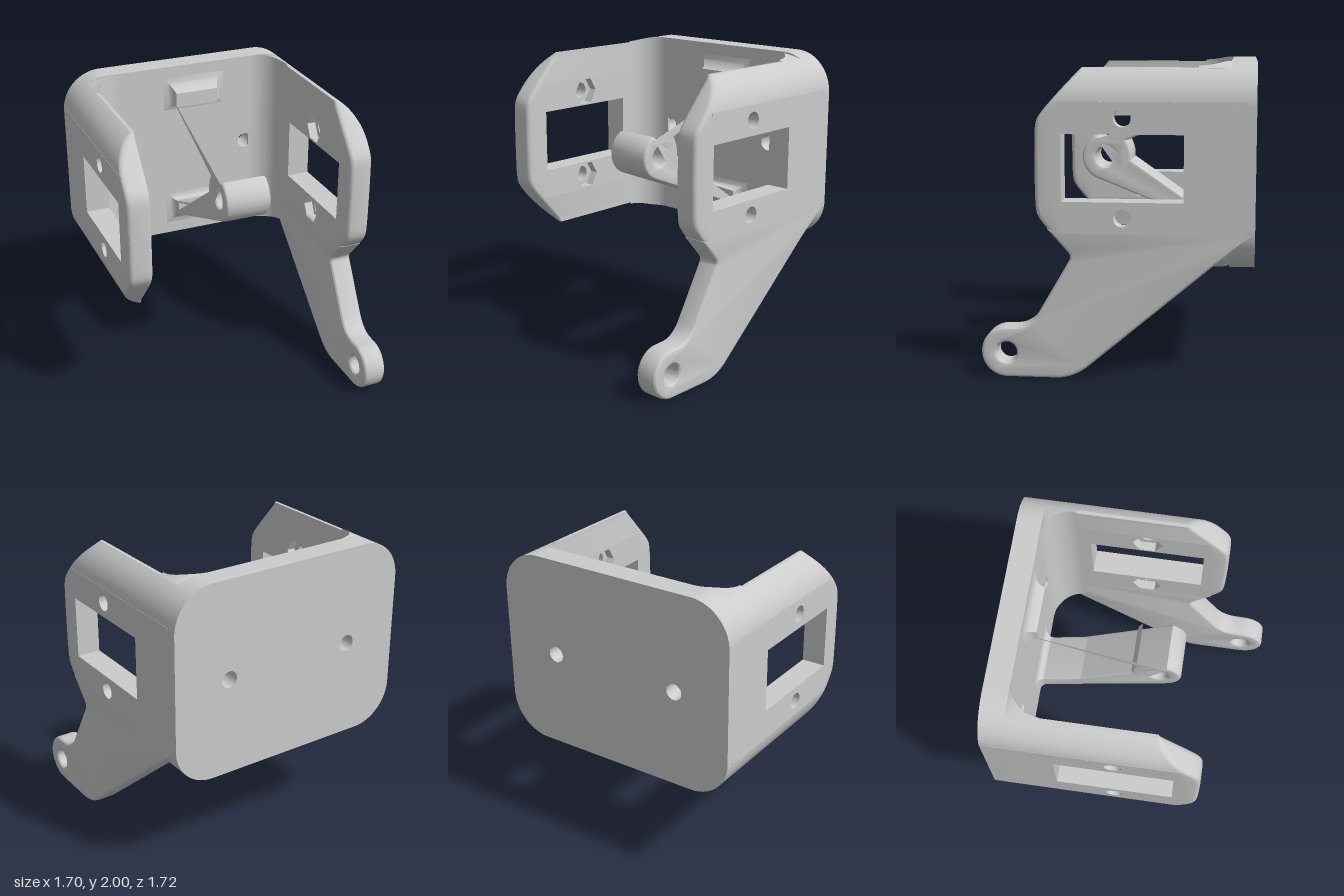
import * as THREE from 'three';
import { toCreasedNormals } from 'three/addons/utils/BufferGeometryUtils.js';

const MID = 1.35;            // height of the symmetry plane of the body
const XI = 0.69, XO = 0.85;  // inner and outer face of a side wall
const R = 0.27;              // corner radius of the body
const HALF = 0.65;           // half height of the body

const material = new THREE.MeshStandardMaterial({ color: 0xcccccc });

function part(name, geometry, crease = 0.5) {
  const mesh = new THREE.Mesh(toCreasedNormals(geometry, crease), material);
  mesh.name = name;
  return mesh;
}

function circle(s, y, r) {
  return new THREE.Path().absarc(s, y, r, 0, Math.PI * 2, true);
}

function polygon(points, Type = THREE.Path) {
  return new Type(points.map(([s, y]) => new THREE.Vector2(s, y)));
}

// Extrudes a side profile, drawn in (-z, y), across x0..x1, with optional rounded edges
function sideExtrude(shape, x0, x1, bevel = 0) {
  const geo = new THREE.ExtrudeGeometry(shape, {
    depth: x1 - x0 - 2 * bevel, curveSegments: 24, bevelEnabled: bevel > 0,
    bevelSize: bevel, bevelThickness: bevel, bevelOffset: -bevel, bevelSegments: 3,
  });
  return geo.rotateY(Math.PI / 2).translate(x0 + bevel, 0, 0);
}

// Skins convex rings stacked upwards; each ring lists [x, z] anticlockwise from above
function loft(heights, ringAt) {
  const rings = heights.map((y) => ringAt(y).map(([x, z]) => [x, y, z]));
  const n = rings[0].length, last = rings[rings.length - 1], pos = [];
  const tri = (a, b, c) => pos.push(...a, ...b, ...c);
  for (let i = 0; i < rings.length - 1; i++) {
    for (let j = 0; j < n; j++) {
      const k = (j + 1) % n;
      tri(rings[i][j], rings[i][k], rings[i + 1][k]);
      tri(rings[i][j], rings[i + 1][k], rings[i + 1][j]);
    }
  }
  for (let j = 1; j < n - 1; j++) {
    tri(rings[0][0], rings[0][j + 1], rings[0][j]);
    tri(last[0], last[j], last[j + 1]);
  }
  const geo = new THREE.BufferGeometry();
  geo.setAttribute('position', new THREE.Float32BufferAttribute(pos, 3));
  return geo;
}

const range = (a, b, n) => Array.from({ length: n + 1 }, (_, i) => a + (b - a) * i / n);

// Outer x of the body at a height, and half height of the body at an x
const outerX = (y) => {
  const d = Math.max(0, Math.abs(y - MID) - (HALF - R));
  return XO - R + Math.sqrt(R * R - d * d);
};
const halfHeight = (x) => HALF - R + Math.sqrt(R * R - Math.max(0, x - XO + R) ** 2);

// Front edge of the wall, with softened chamfers above and below
const frontZ = (y) => {
  const e = Math.abs(y - MID) - 0.3;
  return 0.51 - 0.45 * (e + Math.sqrt(e * e + 0.0016));
};

// Horizontal slice of a wall with rounded front edges
function wallRing(y, zBack, zFront) {
  const xo = outerX(y), r = Math.min(0.03, (xo - XI) * 0.49);
  const ring = [[xo, zBack], [XI, zBack]];
  const angles = range(0, Math.PI / 2, 4);
  for (const a of angles) ring.push([XI + r - r * Math.cos(a), zFront - r + r * Math.sin(a)]);
  for (const a of angles) ring.push([xo - r + r * Math.sin(a), zFront - r + r * Math.cos(a)]);
  return ring;
}

// Flat middle of a wall: window plus two bolt holes, hexagonal on the inside
function wallPanel(x0, x1, hex) {
  const shape = polygon([[-0.36, 0.94], [0.8, 0.94], [0.8, 1.76], [-0.36, 1.76]], THREE.Shape);
  shape.holes.push(polygon([[-0.34, 1.14], [0.42, 1.14], [0.42, 1.56], [-0.34, 1.56]]));
  for (const y of [1.04, 1.66]) {
    shape.holes.push(hex
      ? polygon(range(0, 5, 5).map((i) => [0.04 + 0.1 * Math.cos(i * Math.PI / 3), y + 0.1 * Math.sin(i * Math.PI / 3)]))
      : circle(0.04, y, 0.055));
  }
  return sideExtrude(shape, x0, x1);
}

// Concave corner between wall and back plate, trimmed to the rounded body outline
function cornerFillet() {
  const shape = new THREE.Shape().moveTo(0.49, 0.72);
  shape.lineTo(0.49, 0.7);
  shape.absarc(0.49, 0.5, 0.2, Math.PI / 2, 0, true);
  shape.lineTo(0.72, 0.5);
  shape.lineTo(0.72, 0.72);
  const geo = new THREE.ExtrudeGeometry(shape, { depth: 1, bevelEnabled: false, curveSegments: 16 });
  geo.rotateX(-Math.PI / 2);
  const p = geo.attributes.position;
  for (let i = 0; i < p.count; i++) {
    p.setY(i, MID + (p.getY(i) > 0.5 ? 1 : -1) * halfHeight(p.getX(i)));
  }
  return geo;
}

function sideWall(name) {
  const wall = new THREE.Group();
  wall.name = name;
  wall.add(
    part('wallInnerLayer', wallPanel(XI, 0.75, true)),
    part('wallOuterLayer', wallPanel(0.75, XO, false)),
    part('wallFrontEdge', loft(range(0.94, 1.76, 40), (y) => wallRing(y, 0.36, frontZ(y)))),
    part('wallTop', loft(range(1.76, 1.965, 14), (y) => wallRing(y, -0.8, frontZ(y)))),
    part('cornerFillet', cornerFillet()),
  );
  return wall;
}

// Back plate: rounded rectangle with two screw holes
function backPlate() {
  const w = XO, h = HALF, s = new THREE.Shape();
  s.absarc(w - R, h - R, R, 0, Math.PI / 2);
  s.absarc(R - w, h - R, R, Math.PI / 2, Math.PI);
  s.absarc(R - w, R - h, R, Math.PI, Math.PI * 1.5);
  s.absarc(w - R, R - h, R, Math.PI * 1.5, Math.PI * 2);
  for (const x of [-0.46, 0.46]) s.holes.push(circle(x, 0, 0.055));
  const geo = new THREE.ExtrudeGeometry(s, { depth: 0.16, bevelEnabled: false, curveSegments: 20 });
  return geo.translate(0, MID, -0.86);
}

// Lower arm with a round eye, hanging from one wall
function lowerArm() {
  const s = new THREE.Shape().moveTo(0.86, 0.965);
  s.lineTo(-0.433, 0.965);
  s.lineTo(-0.3, 0.815);
  s.quadraticCurveTo(-0.28, 0.79, -0.295, 0.765);
  s.lineTo(-0.49, 0.43);
  s.quadraticCurveTo(-0.55, 0.33, -0.65, 0.33);
  s.absarc(-0.7, 0.165, 0.163, Math.PI / 2, Math.PI * 1.5);
  s.lineTo(-0.38, 0.002);
  s.quadraticCurveTo(-0.27, 0.005, -0.18, 0.08);
  s.lineTo(0.58, 0.725);
  s.lineTo(0.86, 0.95);
  s.holes.push(circle(-0.7, 0.165, 0.065));
  return sideExtrude(s, XI, XO, 0.025);
}

// Central bracket: two legs converging on an eye
const SLOPE = 0.4, BX0 = -0.1, BX1 = 0.22;
const legOuter = (s) => 0.223 + SLOPE * s;
const legInner = (s) => 0.113 + SLOPE * s;

function centreBracket() {
  const a = Math.atan2(1, -SLOPE);
  const s = new THREE.Shape().moveTo(0.75, MID + legOuter(0.75));
  s.absarc(-0.14, MID, 0.155, a, Math.PI * 2 - a);
  s.lineTo(0.75, MID - legOuter(0.75));
  const gap = new THREE.Path().moveTo(0, MID - legInner(0));
  gap.quadraticCurveTo(0.07, MID, 0, MID + legInner(0));
  gap.lineTo(0.72, MID + legInner(0.72));
  gap.lineTo(0.72, MID - legInner(0.72));
  s.holes.push(gap, circle(-0.14, MID, 0.066));
  return sideExtrude(s, BX0, BX1, 0.02);
}

// Flared foot where a bracket leg meets the plate
function legFoot(sign) {
  const r = 0.07;
  const geo = loft(range(-0.7, -0.7 + r, 8), (z) => {
    const d = r - (z + 0.7), f = r - Math.sqrt(r * r - d * d) - 0.004;
    const ys = [sign * (legInner(-z) - f), sign * (legOuter(-z) + f)].sort((p, q) => p - q);
    const lo = -(MID + ys[1]), hi = -(MID + ys[0]);
    return [[BX1 + f, hi], [BX1 + f, lo], [BX0 - f, lo], [BX0 - f, hi]];
  });
  return geo.rotateX(Math.PI / 2);
}

export function createModel() {
  const model = new THREE.Group();
  model.name = 'bracket';

  // The plain wall is the other wall turned half a turn about the body axis
  const plainWall = sideWall('rightWall');
  plainWall.add(part('wallBottom', loft(range(0.735, 0.94, 14), (y) => wallRing(y, -0.8, frontZ(y)))));
  plainWall.rotation.z = Math.PI;
  plainWall.position.y = 2 * MID;

  // The wall carrying the arm keeps only a short rounded corner below
  const armWall = sideWall('leftWall');
  armWall.add(
    part('wallBottomCorner', loft(range(0.735, 0.94, 14), (y) => wallRing(y, -0.8, -0.5))),
    part('lowerArm', lowerArm()),
  );

  const centre = new THREE.Group();
  centre.name = 'centreBracket';
  centre.add(
    part('bracketLegs', centreBracket()),
    part('upperFoot', legFoot(1)),
    part('lowerFoot', legFoot(-1)),
  );

  model.add(part('backPlate', backPlate()), plainWall, armWall, centre);
  return model;
}
